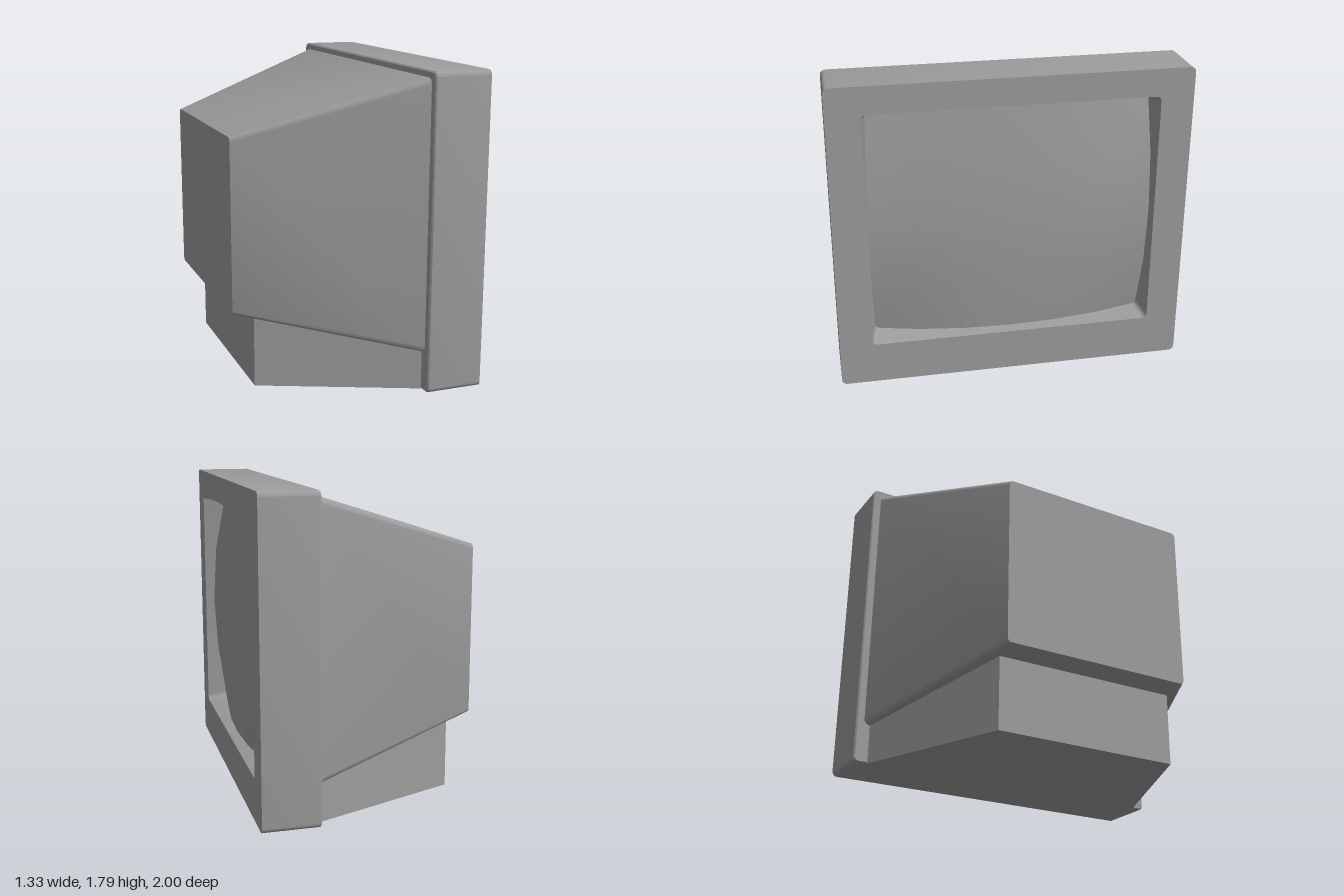
import * as THREE from 'three';
import { toCreasedNormals } from 'three/addons/utils/BufferGeometryUtils.js';

const CORNER_STEPS = 6;

// Rounded rectangle across the x axis: half width in z, y range, corner radius
function ring({ x, w, y0, y1, r }) {
  const points = [];
  const corners = [[w - r, y1 - r], [-w + r, y1 - r], [-w + r, y0 + r], [w - r, y0 + r]];
  corners.forEach(([z, y], q) => {
    for (let i = 0; i <= CORNER_STEPS; i++) {
      const t = (q + i / CORNER_STEPS) * Math.PI / 2;
      points.push([x, y + r * Math.sin(t), z + r * Math.cos(t)]);
    }
  });
  return points;
}

// Skin a series of rounded rectangles, with optional flat ends
function loft(sections, capStart, capEnd) {
  const rings = sections.map(ring);
  const n = rings[0].length;
  const positions = rings.flat(2);
  const index = [];
  for (let s = 0; s < rings.length - 1; s++) {
    for (let j = 0; j < n; j++) {
      const a = s * n + j, b = s * n + (j + 1) % n;
      index.push(a, a + n, b, b, a + n, b + n);
    }
  }
  const cap = (s, flip) => {
    const { x, y0, y1 } = sections[s];
    const c = positions.length / 3;
    positions.push(x, (y0 + y1) / 2, 0);
    for (let j = 0; j < n; j++) {
      const a = s * n + j, b = s * n + (j + 1) % n;
      index.push(c, flip ? b : a, flip ? a : b);
    }
  };
  if (capStart) cap(0, false);
  if (capEnd) cap(sections.length - 1, true);
  const geometry = new THREE.BufferGeometry();
  geometry.setAttribute('position', new THREE.Float32BufferAttribute(positions, 3));
  geometry.setIndex(index);
  return toCreasedNormals(geometry, 0.6);
}

export function createModel() {
  const model = new THREE.Group();
  const material = new THREE.MeshStandardMaterial({ color: 0x9c9c9c });
  const add = (name, geometry) => {
    const mesh = new THREE.Mesh(geometry, material);
    mesh.name = name;
    model.add(mesh);
  };

  const frontX = 0.663, bezelBack = 0.335;
  const open = { w: 0.815, y0: 0.245, y1: 1.638 };
  const taper = 0.23;
  const depth = 0.2;
  const edge = 0.008;

  // Bezel: outer frame with a softened back edge, front face and the tapering recess
  add('bezel', loft([
    { x: bezelBack, w: 1 - edge, y0: edge, y1: 1.795 - edge, r: 0.025 },
    { x: bezelBack + edge, w: 1, y0: 0, y1: 1.795, r: 0.03 },
    { x: frontX, w: 1, y0: 0, y1: 1.795, r: 0.03 },
    { x: frontX, ...open, r: 0.03 },
    { x: frontX - depth, w: open.w - taper * depth, y0: open.y0 + taper * depth,
      y1: open.y1 - taper * depth, r: 0.025 },
  ], true, false));

  // Screen: bulging glass whose edge follows the recess walls
  const screen = new THREE.PlaneGeometry(2, 2, 6, 4);
  const p = screen.attributes.position;
  const midY = (open.y0 + open.y1) / 2, halfY = (open.y1 - open.y0) / 2;
  for (let i = 0; i < p.count; i++) {
    const u = p.getX(i), v = p.getY(i);
    const d = 0.008 + 0.045 * (u * u + v * v) + 0.035 * u * u * v * v;
    p.setXYZ(i, frontX - d, midY + v * (halfY - taper * d), -u * (open.w - taper * d));
  }
  screen.computeVertexNormals();
  add('screen', screen);

  // Rear housing: narrows towards the back
  add('rearHousing', loft([
    { x: -0.665, w: 0.58, y0: 0.445, y1: 1.44, r: 0.025 },
    { x: bezelBack + edge, w: 0.955, y0: 0.224, y1: 1.76, r: 0.035 },
  ], true, true));

  // Base: upright wedge plan running from the bezel to under the housing
  const plan = new THREE.Shape([
    [-0.535, -0.555], [bezelBack + edge, -0.92], [bezelBack + edge, 0.92], [-0.535, 0.555],
  ].map(([x, y]) => new THREE.Vector2(x, y)));
  const base = new THREE.ExtrudeGeometry(plan, { depth: 0.46, bevelEnabled: false });
  base.rotateX(-Math.PI / 2);
  add('base', base);

  return model;
}
